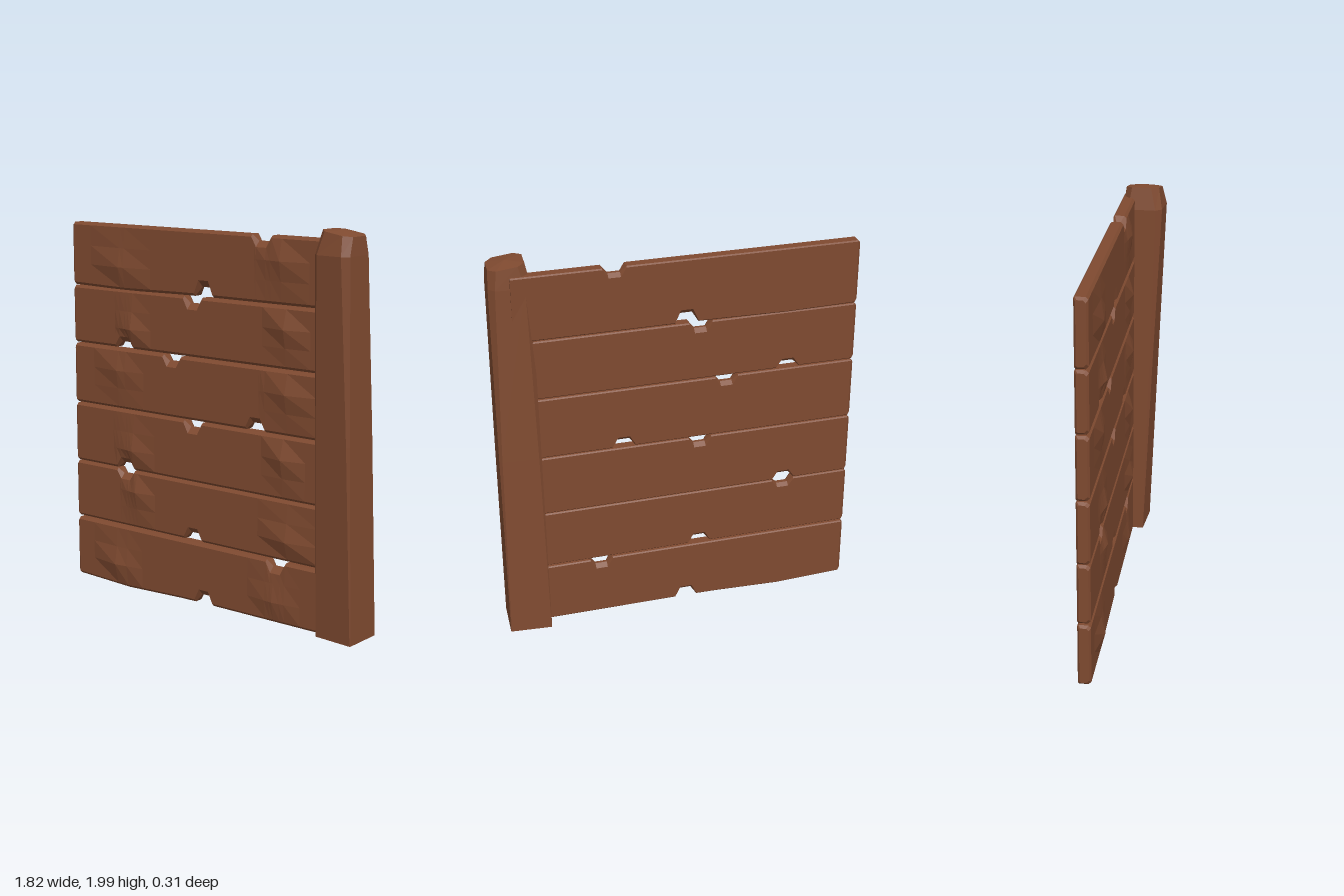
import * as THREE from 'three';

// Skin a list of equal-length rings (counter-clockwise seen from the loft's end), with fan caps.
function loft(rings, endLift = 0) {
  const pos = [];
  const tri = (a, b, c) => pos.push(...a.toArray(), ...b.toArray(), ...c.toArray());
  const centre = (r) => r.reduce((s, p) => s.add(p), new THREE.Vector3()).divideScalar(r.length);
  const n = rings[0].length;
  const first = rings[0], last = rings[rings.length - 1];
  const c0 = centre(first), c1 = centre(last);
  c1.y += endLift;
  for (let i = 0; i < n; i++) {
    const j = (i + 1) % n;
    for (let k = 0; k < rings.length - 1; k++) {
      const a = rings[k], b = rings[k + 1];
      tri(a[i], a[j], b[j]);
      tri(a[i], b[j], b[i]);
    }
    tri(c0, first[j], first[i]);
    tri(c1, last[i], last[j]);
  }
  const g = new THREE.BufferGeometry();
  g.setAttribute('position', new THREE.Float32BufferAttribute(pos, 3));
  g.computeVertexNormals();
  return g;
}

// Notch depth at x: a small trapezoid bitten out of an edge.
const bite = (x, [cx, depth]) =>
  depth * THREE.MathUtils.clamp((0.058 - Math.abs(x - cx)) / 0.028, 0, 1);
const tent = (x, cx, w) => Math.max(0, 1 - Math.abs(x - cx) / w);

const LEFT = -0.91, RIGHT = 0.8, BACK = -0.065;

// One plank: cross-sections along x with chamfers, edge notches and carved bulges.
function plankGeometry({ b, t, topNotch, bottomNotch, sag = 0, bumps }) {
  const xs = [LEFT, LEFT + 0.012, RIGHT, -0.55, -0.2, 0.2];
  for (const n of [topNotch, bottomNotch]) {
    if (n) for (const d of [-0.058, -0.03, 0.03, 0.058]) xs.push(n[0] + d);
  }
  for (const [x, , , w] of bumps) xs.push(x - w, x, x + w);
  const sorted = [...new Set(xs.map((x) => +x.toFixed(3)))]
    .filter((x) => x >= LEFT && x <= RIGHT).sort((p, q) => p - q);

  const rings = sorted.map((x) => {
    const inset = x === LEFT ? 0.012 : 0;
    const dt = topNotch ? bite(x, topNotch) : 0;
    const db = bottomNotch ? bite(x, bottomNotch) : 0;
    const top = t - dt - inset;
    const bot = b + db + inset - sag * tent(x, -0.55, 0.4);
    const zf = -inset * 0.8, zb = BACK + inset * 0.8;
    const ft = 0.012 + 0.5 * dt, fb = 0.014 + 0.5 * db;
    const bt = 0.006 + 0.4 * dt, bb = 0.006 + 0.4 * db;
    const row = (r) => bumps.reduce((s, [bx, br, h, w]) =>
      s + h * tent(x, bx, w) * (br === r ? 1 : 0.3), 0);
    const y = (f) => b + (t - b) * f;
    return [
      [top - bt, zb], [top, zb + bt], [top, zf - ft], [top - ft, zf],
      [y(0.64), zf + row(1)], [y(0.34), zf + row(0)],
      [bot + fb, zf], [bot, zf - fb], [bot, zb + bb], [bot + bb, zb],
    ].map(([py, pz]) => new THREE.Vector3(x, py, pz));
  });
  return loft(rings);
}

// Bumps: [x, row (0 lower, 1 upper), height, half-width]
const PLANKS = [
  { b: 1.612, t: 1.938, topNotch: [0.31, 0.032], bottomNotch: [-0.04, 0.045], sag: 0.008,
    bumps: [[-0.58, 0, 0.022, 0.2], [0.43, 1, 0.022, 0.16]] },
  { b: 1.303, t: 1.606, topNotch: [-0.11, 0.035], bottomNotch: [-0.56, 0.03],
    bumps: [[-0.5, 0, 0.024, 0.12], [0.46, 1, 0.027, 0.14]] },
  { b: 0.978, t: 1.296, topNotch: [-0.245, 0.032], bottomNotch: [0.28, 0.035],
    bumps: [[-0.6, 1, 0.02, 0.17], [0.47, 1, 0.025, 0.17]] },
  { b: 0.656, t: 0.972, topNotch: [-0.11, 0.035], bottomNotch: [-0.56, 0.03],
    bumps: [[-0.5, 0, 0.022, 0.14], [0.45, 1, 0.027, 0.13]] },
  { b: 0.345, t: 0.652, topNotch: [-0.56, 0.028], bottomNotch: [-0.11, 0.035],
    bumps: [[-0.48, 1, 0.022, 0.12], [0.48, 0, 0.026, 0.18]] },
  { b: 0.015, t: 0.334, topNotch: [0.41, 0.035], bottomNotch: [-0.04, 0.04], sag: 0.015,
    bumps: [[-0.62, 0, 0.027, 0.17], [0.4, 0, 0.018, 0.16]] },
];

// Chamfered rectangular ring of the post, turned slightly about its axis.
function postRing(y, x0, x1, z0, z1, c, tilt = 0) {
  return [
    [x1, z1 - c], [x1, z0 + c], [x1 - c, z0], [x0 + c, z0],
    [x0, z0 + c], [x0, z1 - c], [x0 + c, z1], [x1 - c, z1],
  ].map(([x, z]) => new THREE.Vector3(
    x - 0.05 * (z - (z0 + z1) / 2), y - tilt * (x - 0.8), z + 0.08 * (x - 0.8)));
}

export function createModel() {
  const group = new THREE.Group();
  group.name = 'plankFence';
  const wood = new THREE.MeshStandardMaterial({ color: 0x7f4a30 });
  wood.name = 'brownWood';

  // Horizontal planks
  PLANKS.forEach((p, i) => {
    const mesh = new THREE.Mesh(plankGeometry(p), wood);
    mesh.name = `plank${i + 1}`;
    group.add(mesh);
  });

  // Leaning post with a hewn top
  const post = new THREE.Mesh(loft([
    postRing(0.025, 0.695, 0.905, -0.145, 0.065, 0.003),
    postRing(1.0, 0.695, 0.9, -0.1, 0.107, 0.014),
    postRing(1.88, 0.695, 0.893, -0.057, 0.147, 0.03),
    postRing(1.98, 0.718, 0.888, -0.045, 0.125, 0.035, 0.15),
  ], 0.012), wood);
  post.name = 'post';
  group.add(post);

  return group;
}
